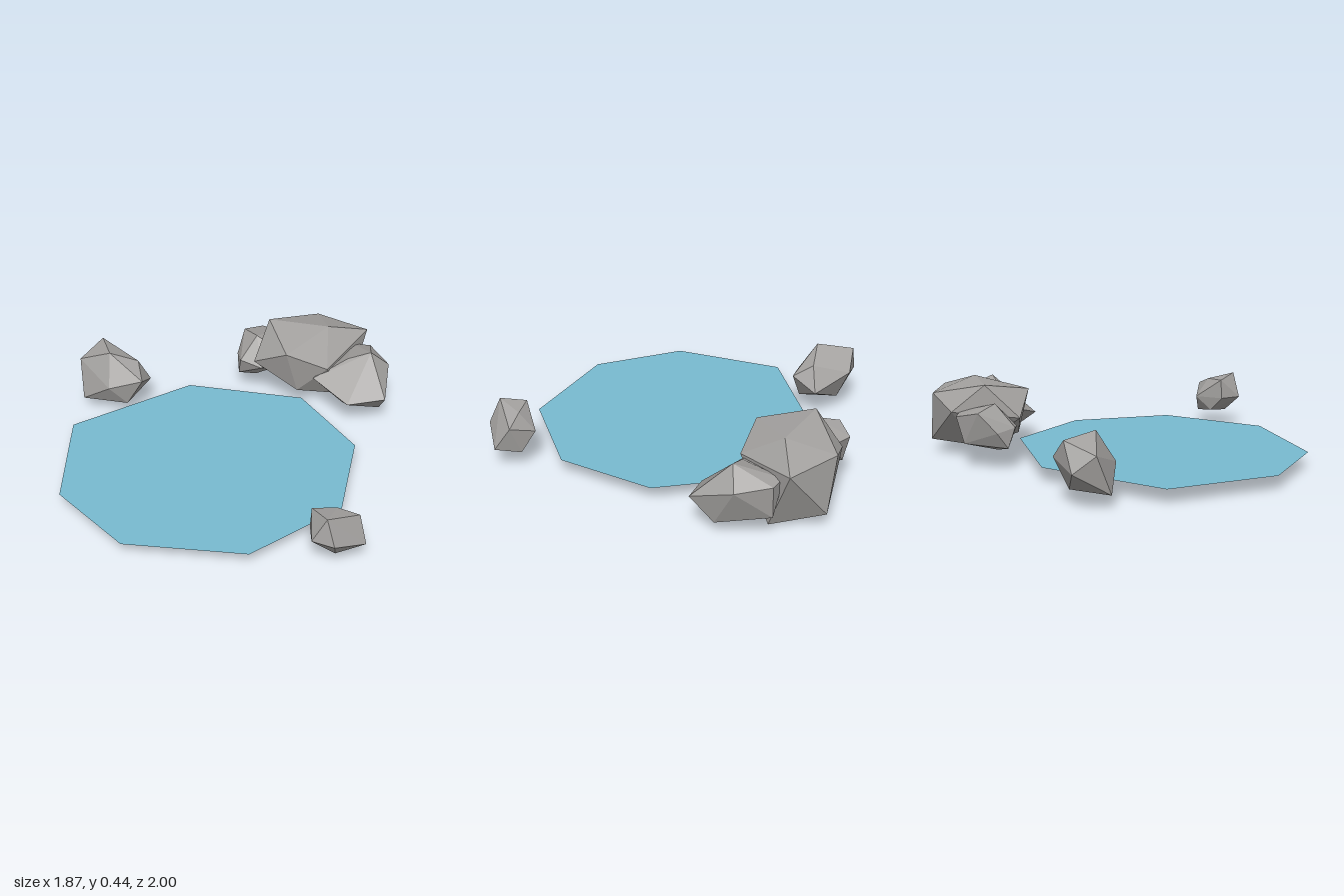
import * as THREE from 'three';
import { ConvexGeometry } from 'three/addons/geometries/ConvexGeometry.js';

const stone = new THREE.MeshStandardMaterial({ color: 0xa3a19f, flatShading: true });
stone.name = 'stone grey';
const water = new THREE.MeshStandardMaterial({ color: 0x78bad0, side: THREE.DoubleSide });
water.name = 'water blue';

// Each rock is a faceted hull over twelve uneven corners [x, y, z].
const rocks = {
  leftShoreRock: [
    [-.72, .205, -.13], [-.745, .375, -.235], [-.6, .31, -.3], [-.545, .24, -.2],
    [-.545, .17, -.35], [-.635, .085, -.19], [-.895, .08, -.18], [-.935, .29, -.26],
    [-.925, .2, -.38], [-.85, .355, -.41], [-.75, .25, -.45], [-.75, .08, -.37],
  ],
  smallFrontRock: [
    [.75, .335, .83], [.65, .31, .73], [.88, .255, .65], [.93, .135, .72],
    [.82, .1, .63], [.79, .1, .79], [.8, .2, .87], [.68, .2, .85],
    [.735, .2, .6], [.645, .2, .735], [.7, .12, .68], [.77, .3, .68],
  ],
  largeBackRock: [
    [.06, .45, -.72], [.4, .44, -.75], [.225, .39, -.465], [.02, .27, -.535],
    [.6, .36, -.91], [.29, .37, -.99], [.39, .085, -1], [.53, .005, -.745],
    [.28, .13, -.52], [.21, .08, -.75], [.09, .3, -.9], [.45, .3, -.52],
  ],
  mediumBackRock: [
    [.675, .385, -.63], [.55, .34, -.6], [.375, .24, -.5], [.6, .17, -.39],
    [.8, .2, -.455], [.75, .065, -.57], [.54, .1, -.52], [.77, .28, -.7],
    [.635, .3, -.84], [.53, .3, -.83], [.62, .12, -.83], [.46, .2, -.67],
  ],
  smallBackRock: [
    [0, .36, -.67], [-.1, .33, -.77], [-.02, .3, -.88], [.11, .3, -.855],
    [-.115, .22, -.67], [-.09, .13, -.61], [-.07, .24, -.57], [.06, .22, -.55],
    [0, .105, -.66], [.12, .15, -.7], [-.02, .15, -.84], [.13, .3, -.65],
  ],
};

// Pool outline as [x, z].
const shore = [
  [-.855, .1], [-.7, .71], [-.26, 1], [.38, .9],
  [.745, .42], [.7, -.14], [.31, -.51], [-.345, -.46],
];

export function createModel() {
  const model = new THREE.Group();
  model.name = 'rockPool';

  // Flat, eight-sided water surface
  const outline = new THREE.Shape(shore.map(([x, z]) => new THREE.Vector2(x, -z)));
  const pool = new THREE.Mesh(new THREE.ShapeGeometry(outline).rotateX(-Math.PI / 2), water);
  pool.name = 'waterSurface';
  pool.position.y = 0.087;
  model.add(pool);

  // Rocks around the shore
  for (const [name, corners] of Object.entries(rocks)) {
    const points = corners.map((c) => new THREE.Vector3(...c));
    const rock = new THREE.Mesh(new ConvexGeometry(points), stone);
    rock.name = name;
    model.add(rock);
  }
  return model;
}
